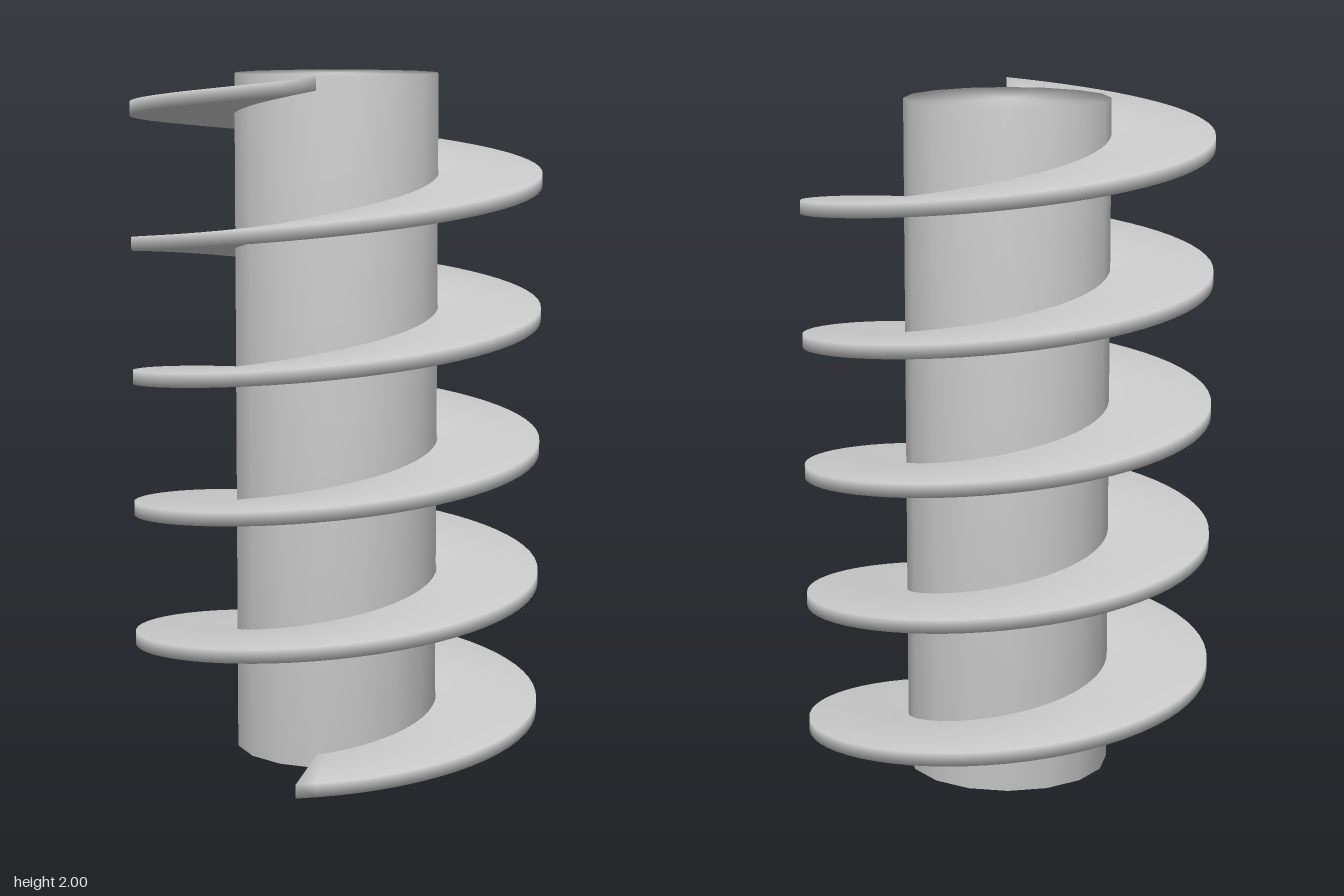
import * as THREE from 'three';
import { mergeVertices } from 'three/addons/utils/BufferGeometryUtils.js';

const HEIGHT = 2, SHAFT_R = 0.3, FLIGHT_R = 0.6;
const THICKNESS = 0.04, TURNS = 5, STEPS_PER_TURN = 64;

// Share corner vertices so the shading rolls softly over every edge.
function softened(geometry) {
  geometry.deleteAttribute('uv');
  geometry.deleteAttribute('normal');
  const merged = mergeVertices(geometry, 1e-4);
  merged.computeVertexNormals();
  return merged;
}

// Rectangular blade section swept up a helix that starts at the front (+z).
function helicalFlight() {
  const section = [
    [SHAFT_R, 0], [FLIGHT_R, 0], [FLIGHT_R, THICKNESS], [SHAFT_R, THICKNESS],
  ];
  const steps = TURNS * STEPS_PER_TURN;
  const positions = [], index = [];
  for (let i = 0; i <= steps; i++) {
    const t = i / steps;
    const angle = t * TURNS * Math.PI * 2;
    const lift = t * (HEIGHT - THICKNESS);
    for (const [r, y] of section) {
      positions.push(r * Math.sin(angle), y + lift, r * Math.cos(angle));
    }
    if (i === steps) break;
    for (let k = 0; k < 4; k++) {
      const a = i * 4 + k, b = i * 4 + (k + 1) % 4;
      index.push(a, a + 4, b, b, a + 4, b + 4);
    }
  }
  // End caps
  const e = steps * 4;
  index.push(0, 1, 2, 0, 2, 3, e, e + 2, e + 1, e, e + 3, e + 2);

  const geometry = new THREE.BufferGeometry();
  geometry.setAttribute('position', new THREE.Float32BufferAttribute(positions, 3));
  geometry.setIndex(index);
  geometry.computeVertexNormals();
  return geometry;
}

export function createModel() {
  const group = new THREE.Group();
  group.name = 'screwConveyor';
  const material = new THREE.MeshStandardMaterial({ color: 0xcccccc });

  // Central shaft
  const shaft = new THREE.Mesh(
    softened(new THREE.CylinderGeometry(SHAFT_R, SHAFT_R, HEIGHT, 16)), material);
  shaft.name = 'shaft';
  shaft.position.y = HEIGHT / 2;

  // Spiral blade
  const flight = new THREE.Mesh(helicalFlight(), material);
  flight.name = 'helicalFlight';

  group.add(shaft, flight);
  return group;
}
